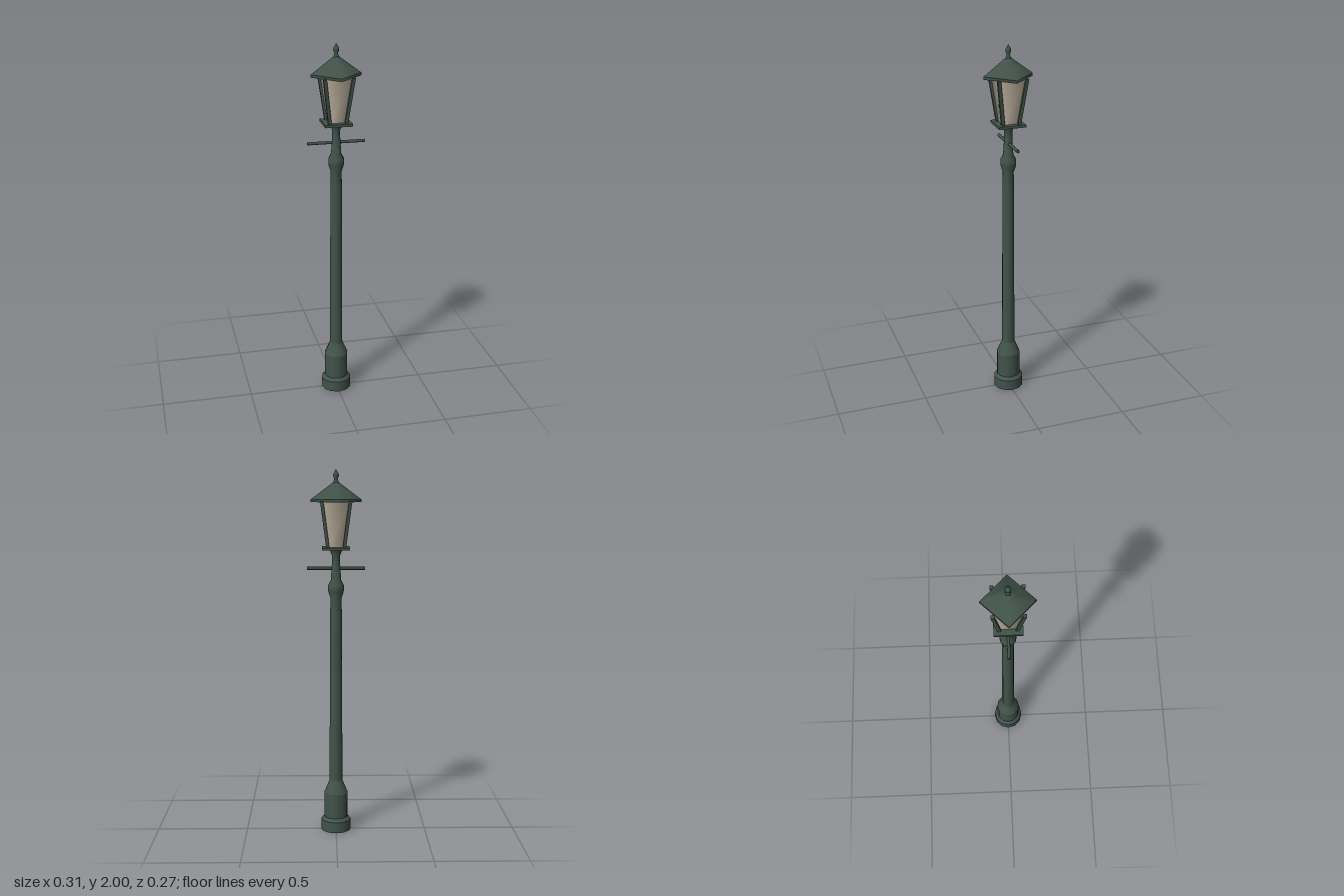
import * as THREE from 'three';

export function createModel() {
  const model = new THREE.Group();
  const green = new THREE.MeshStandardMaterial({ color: 0x41534a });
  green.name = 'dark green paint';
  const pane = new THREE.MeshStandardMaterial({ color: 0xc2b6a2 });
  pane.name = 'warm glass';

  const add = (name, geometry, material = green) => {
    const mesh = new THREE.Mesh(geometry, material);
    mesh.name = name;
    model.add(mesh);
    return mesh;
  };
  // Profile of [radius, height] pairs; a repeated pair makes a sharp edge
  const lathe = (points, sides) =>
    new THREE.LatheGeometry(points.map(([r, y]) => new THREE.Vector2(r, y)), sides);

  // Foot, shaft, collar and neck
  add('pole', lathe([
    [0, 0], [0.083, 0], [0.083, 0], [0.083, 0.06], [0.083, 0.06], [0.066, 0.077], [0.066, 0.077],
    [0.066, 0.215], [0.066, 0.215], [0.036, 0.285], [0.036, 0.285], [0.032, 1.22], [0.03, 1.31],
    [0.043, 1.35], [0.043, 1.38], [0.028, 1.41], [0.022, 1.5], [0.022, 1.54], [0.036, 1.575],
  ], 12));

  // Ladder rest
  const bar = add('crossbar', new THREE.CylinderGeometry(0.0085, 0.0085, 0.312, 8));
  bar.rotation.z = Math.PI / 2;
  bar.position.y = 1.472;

  // Lantern floor
  add('lanternPlate', new THREE.BoxGeometry(0.148, 0.014, 0.148)).position.y = 1.579;

  // Tapered square glass with softly shaded corners
  const glass = add('glass', new THREE.CylinderGeometry(
    0.072 * Math.SQRT2, 0.042 * Math.SQRT2, 0.242, 4), pane);
  glass.rotation.y = Math.PI / 4;
  glass.position.y = 1.706;

  // Four corner posts leaning outward
  for (const sx of [-1, 1]) {
    for (const sz of [-1, 1]) {
      const g = new THREE.BoxGeometry(0.018, 0.246, 0.018);
      const p = g.attributes.position;
      for (let i = 0; i < p.count; i++) {
        const offset = p.getY(i) > 0 ? 0.076 : 0.044;
        p.setX(i, p.getX(i) + sx * offset);
        p.setZ(i, p.getZ(i) + sz * offset);
      }
      g.computeVertexNormals();
      add('cornerPost', g).position.y = 1.706;
    }
  }

  // Square roof set diagonally over the lantern
  add('roof', lathe([
    [0, 1.825], [0.135, 1.825], [0.135, 1.825], [0.135, 1.84], [0.135, 1.84],
    [0.045, 1.907], [0, 1.942],
  ], 4));

  // Pointed finial
  add('finial', lathe([
    [0.016, 1.925], [0.009, 1.947], [0.016, 1.963], [0.014, 1.975], [0.005, 1.99], [0, 2],
  ], 8));

  return model;
}
